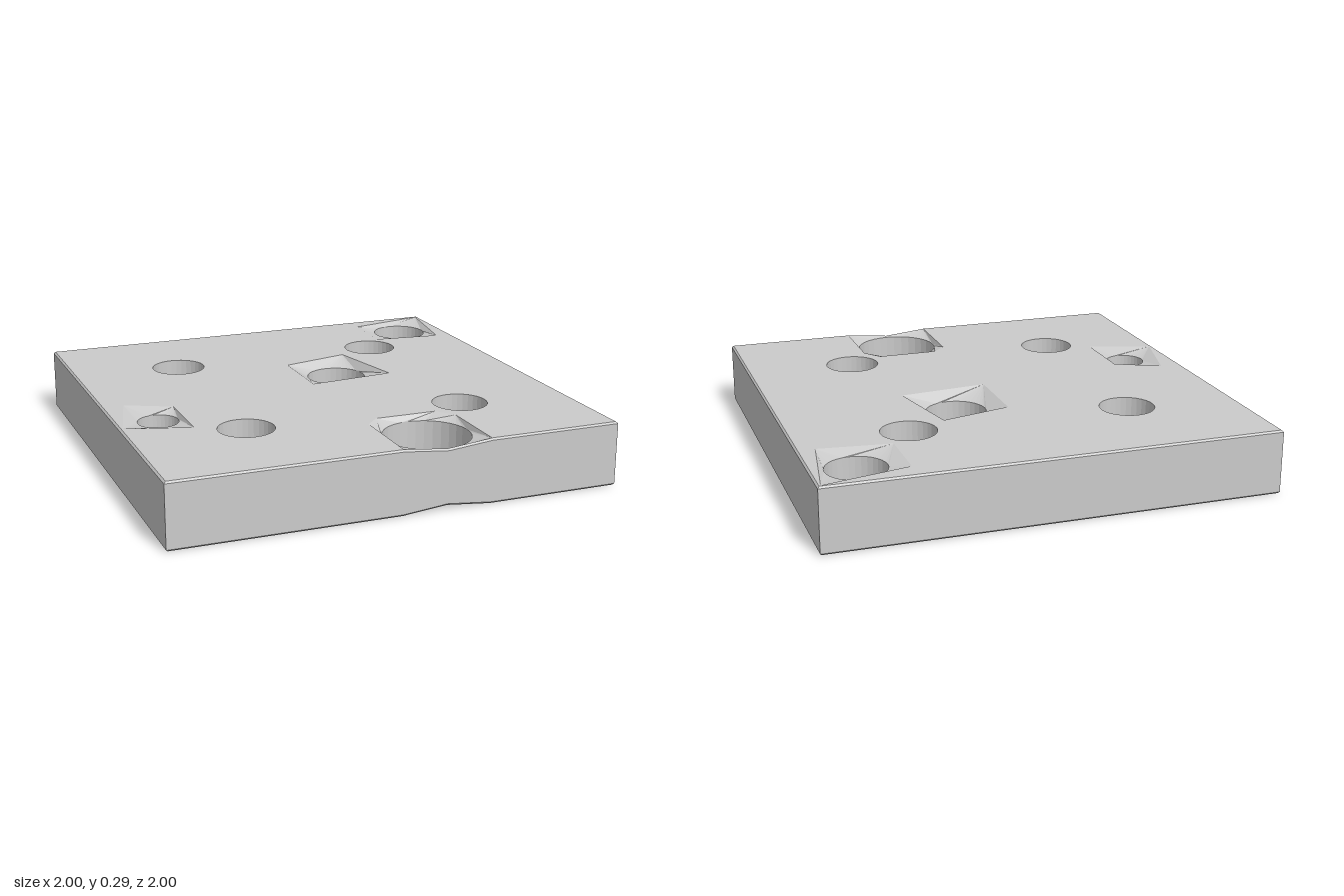
import * as THREE from 'three';

const H = 0.287;          // plate thickness
const B = 0.008;          // edge bevel
const E = 1 - B;          // inset edge of the flat faces
const SIDES = 32;
const NOTCH = 0.02;       // dip of the front edge beside the large hole

const mat = new THREE.MeshStandardMaterial({ color: 0xcccccc, flatShading: true });
const wallMat = new THREE.MeshStandardMaterial({ color: 0xcccccc, flatShading: true, side: THREE.DoubleSide });

// Straight holes: x, z, radius
const plainHoles = [-0.5, 0.5].flatMap((x) => [-0.5, 0.5].map((z) => ({ x, z, r: 0.123, depth: 0 })));

// Holes in a sunken patch, with the patch outline as [x, z]
const sunkenHoles = [
  { x: 0.2, z: -0.21, r: 0.136, depth: 0.04,
    rim: [[0, 0], [0.36, 0], [0.4, -0.04], [0.4, -0.33], [0.32, -0.42], [0.08, -0.42], [0, -0.34]] },
  { x: 0.8, z: -0.795, r: 0.13, depth: 0.022,
    rim: [[0.68, -0.59], [0.92, -0.59], [0.985, -0.66], [0.985, -0.985], [0.68, -0.985], [0.6, -0.9], [0.6, -0.63]] },
  { x: -0.8, z: 0.205, r: 0.09, depth: 0.024,
    rim: [[-0.9, 0.41], [-0.7, 0.41], [-0.6, 0.3], [-0.7, 0.1], [-0.6, 0], [-0.9, 0], [-0.985, 0.08], [-0.985, 0.32]] },
  { x: 0.2, z: 0.79, r: 0.19, depth: 0.025, atEdge: true,
    rim: [[0, E], [0.2, E], [0.4, E], [0.4, 0.66], [0.34, 0.58], [0.06, 0.58], [0, 0.64]] },
];

const toPoints = (list) => list.map(([x, z]) => new THREE.Vector2(x, -z));

function circlePoints({ x, z, r }) {
  return Array.from({ length: SIDES }, (_, i) => {
    const a = (i / SIDES) * Math.PI * 2;
    return new THREE.Vector2(x + r * Math.cos(a), -z + r * Math.sin(a));
  });
}

// Horizontal face at the top or bottom; drop(x, z) sinks its vertices into the plate
function face(outline, holes, drop, top) {
  const shape = new THREE.Shape(toPoints(outline));
  shape.holes = holes.map((points) => new THREE.Path(points));
  const geo = new THREE.ShapeGeometry(shape).rotateX(-Math.PI / 2);
  const p = geo.attributes.position;
  for (let i = 0; i < p.count; i++) {
    const d = drop(p.getX(i), p.getZ(i));
    p.setY(i, top ? H - d : d);
  }
  if (!top) geo.setIndex(Array.from(geo.index.array).reverse());
  geo.computeVertexNormals();
  return geo;
}

// Bevelled outer wall swept round the outline
function outerWall() {
  const path = [[-1, 1, 0], [0, 1, 0], [0.2, 1, NOTCH], [0.4, 1, 0], [1, 1, 0], [1, -1, 0], [-1, -1, 0]];
  const pos = [];
  const index = [];
  const n = path.length;
  const clamp = (v) => THREE.MathUtils.clamp(v, -E, E);
  for (const [x, z, d] of path) {
    pos.push(clamp(x), d, clamp(z), x, d + B, z, x, H - d - B, z, clamp(x), H - d, clamp(z));
  }
  for (let i = 0; i < n; i++) {
    for (let k = 0; k < 3; k++) {
      const a = i * 4 + k;
      const b = ((i + 1) % n) * 4 + k;
      index.push(a, b, b + 1, a, b + 1, a + 1);
    }
  }
  const geo = new THREE.BufferGeometry();
  geo.setAttribute('position', new THREE.Float32BufferAttribute(pos, 3));
  geo.setIndex(index);
  geo.computeVertexNormals();
  return geo;
}

export function createModel() {
  const group = new THREE.Group();
  group.name = 'perforatedPlate';
  const add = (name, geo, material = mat) => {
    const mesh = new THREE.Mesh(geo, material);
    mesh.name = name;
    group.add(mesh);
    return mesh;
  };

  // Flat faces, with a gap in the front edge for the large sunken patch
  const edgeRim = sunkenHoles.find((h) => h.atEdge).rim;
  const gap = [edgeRim[0], ...edgeRim.slice(2).reverse()];
  const outline = [[-E, E], ...gap, [E, E], [E, -E], [-E, -E]];
  const cuts = [
    ...plainHoles.map(circlePoints),
    ...sunkenHoles.filter((h) => !h.atEdge).map((h) => toPoints(h.rim)),
  ];
  add('topFace', face(outline, cuts, () => 0, true));
  add('bottomFace', face(outline, cuts, () => 0, false));
  add('outerWall', outerWall());

  // Sunken patches sloping down to the hole edges, on both faces
  for (const h of sunkenHoles) {
    const drop = (x, z) => {
      if (Math.abs(Math.hypot(x - h.x, z - h.z) - h.r) < 1e-4) return h.depth;
      return h.atEdge && z > E - 1e-4 && Math.abs(x - 0.2) < 0.01 ? NOTCH : 0;
    };
    add('topRecess', face(h.rim, [circlePoints(h)], drop, true));
    add('bottomRecess', face(h.rim, [circlePoints(h)], drop, false));
  }

  // Hole walls
  for (const h of [...plainHoles, ...sunkenHoles]) {
    const geo = new THREE.CylinderGeometry(h.r, h.r, H - 2 * h.depth, SIDES, 1, true);
    add('holeWall', geo, wallMat).position.set(h.x, H / 2, h.z);
  }
  return group;
}
